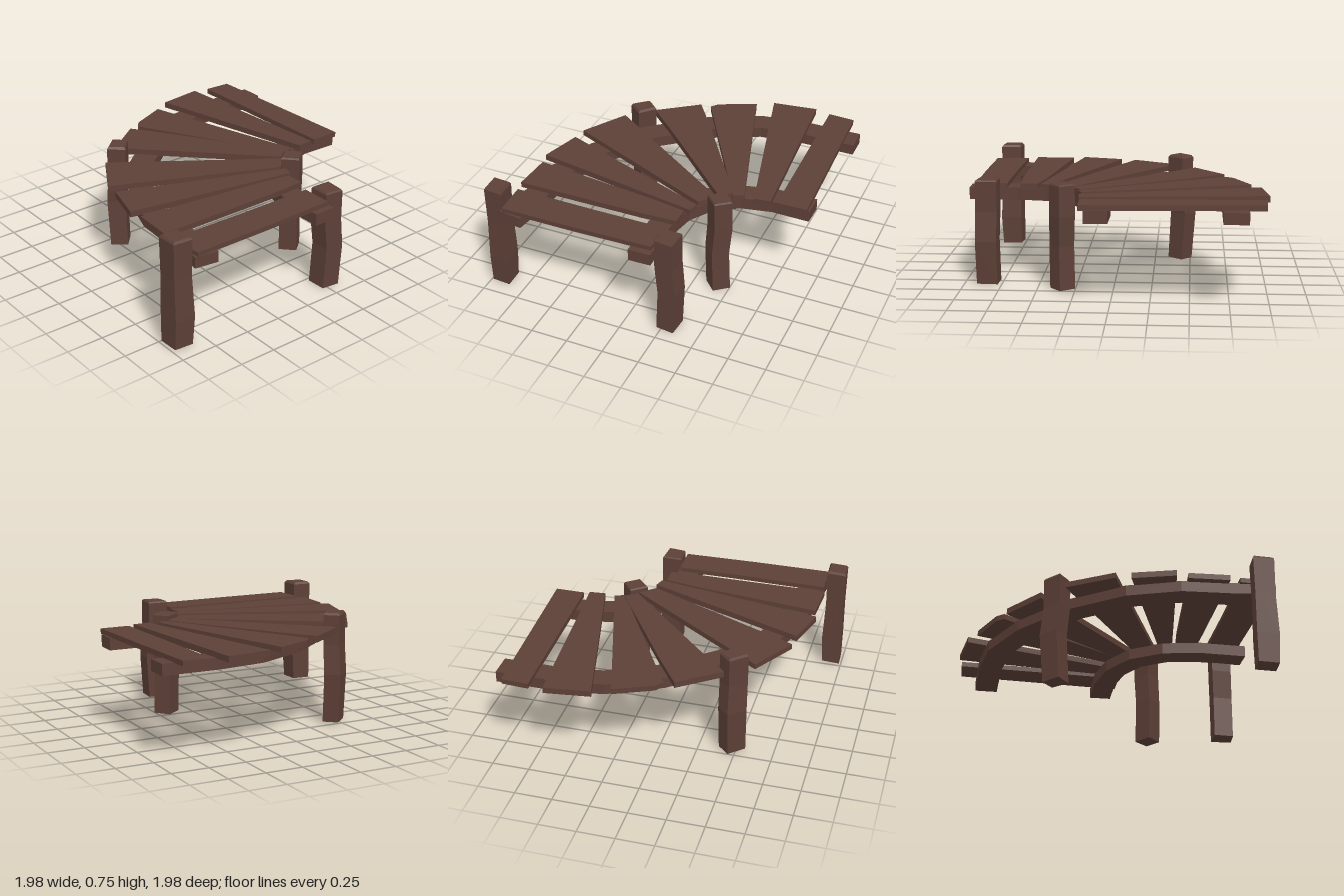
import * as THREE from 'three';

// Closed flat-faced solid from a row of matching cross-sections
function loft(rings) {
  const tris = [];
  const n = rings[0].length;
  const quad = (a, b, c, d) => tris.push([a, b, c], [a, c, d]);
  for (let i = 0; i < rings.length - 1; i++) {
    for (let j = 0; j < n; j++) {
      const k = (j + 1) % n;
      quad(rings[i][j], rings[i][k], rings[i + 1][k], rings[i + 1][j]);
    }
  }
  const [s, e] = [rings[0], rings[rings.length - 1]];
  for (let j = 1; j < n - 1; j++) tris.push([s[0], s[j + 1], s[j]], [e[0], e[j], e[j + 1]]);

  // Turn all faces outward using the signed volume
  let volume = 0;
  for (const [a, b, c] of tris) volume += a.dot(new THREE.Vector3().crossVectors(b, c));
  const pos = [];
  for (const [a, b, c] of tris) {
    for (const p of volume < 0 ? [a, c, b] : [a, b, c]) pos.push(p.x, p.y, p.z);
  }
  const g = new THREE.BufferGeometry();
  g.setAttribute('position', new THREE.Float32BufferAttribute(pos, 3));
  g.computeVertexNormals();
  return g;
}

const v = (x, y, z) => new THREE.Vector3(x, y, z);

// Board: each station gives both edges as [ax, az, bx, bz]
function board(stations, bottom, top) {
  return loft(stations.map(([ax, az, bx, bz]) => [
    v(ax, top, az), v(bx, top, bz), v(bx, bottom, bz), v(ax, bottom, az),
  ]));
}

// Curved beam: path points [x, z] widened on both sides
function beam(path, width, bottom, top) {
  return board(path.map(([x, z], i) => {
    const p = path[Math.max(i - 1, 0)];
    const q = path[Math.min(i + 1, path.length - 1)];
    const dx = q[0] - p[0];
    const dz = q[1] - p[1];
    const s = width / 2 / Math.hypot(dx, dz);
    return [x - dz * s, z + dx * s, x + dz * s, z - dx * s];
  }), bottom, top);
}

// Rough post: the footprint is shifted and scaled at a few heights
function post(corners, levels) {
  const cx = corners.reduce((t, c) => t + c[0], 0) / 4;
  const cz = corners.reduce((t, c) => t + c[1], 0) / 4;
  return loft(levels.map(([y, ox, oz, s]) =>
    corners.map(([x, z]) => v(cx + ox + (x - cx) * s, y, cz + oz + (z - cz) * s))));
}

export function createModel() {
  const group = new THREE.Group();
  const wood = new THREE.MeshStandardMaterial({ color: 0x5d4037 });
  wood.name = 'darkWood';
  const add = (name, geometry) => {
    const mesh = new THREE.Mesh(geometry, wood);
    mesh.name = name;
    group.add(mesh);
  };

  // Fan of deck planks, from the outer end to the inner end
  const planks = [
    [0.67, [-0.85, 0.71, -0.84, 0.94], [-0.3, 0.72, -0.3, 0.94], [0.2, 0.72, 0.2, 0.93]],
    [0.675, [-0.85, 0.37, -0.865, 0.64], [0, 0.47, 0, 0.64], [0.24, 0.51, 0.24, 0.63]],
    [0.678, [-0.79, 0.01, -0.87, 0.29], [0.29, 0.42, 0.27, 0.49]],
    [0.675, [-0.6, -0.39, -0.78, -0.09], [0.38, 0.29, 0.28, 0.38]],
    [0.68, [-0.16, -0.73, -0.43, -0.53], [0, -0.5, -0.21, -0.32], [0.46, 0.21, 0.38, 0.27]],
    [0.675, [0.2, -0.9, -0.05, -0.79], [0.22, -0.83, -0.09, -0.74], [0.53, 0.2, 0.46, 0.23]],
    [0.678, [0.31, -0.96, 0.615, -1], [0.6, 0.21, 0.71, 0.2]],
    [0.673, [0.72, -0.98, 0.9, -0.97], [0.75, 0.19, 0.95, 0.19]],
  ];
  planks.forEach(([top, ...stations], i) => add(`plank${i + 1}`, board(stations, 0.638, top)));

  // Two curved beams under the deck
  add('outerBeam', beam([[-0.78, 0.95], [-0.74, 0.66], [-0.72, 0.35], [-0.61, 0.03], [-0.37, -0.3],
    [-0.03, -0.58], [0.3, -0.74], [0.6, -0.78], [0.985, -0.78]], 0.16, 0.568, 0.642));
  add('innerBeam', beam([[0.14, 0.975], [0.135, 0.65], [0.18, 0.42], [0.3, 0.23], [0.48, 0.12],
    [0.7, 0.075], [0.96, 0.08]], 0.15, 0.56, 0.64));

  // Four slightly crooked posts
  add('outerFrontPost', post([[-0.99, 0.76], [-0.86, 0.77], [-0.855, 0.91], [-0.985, 0.9]],
    [[0.02, 0, 0, 0.97], [0.22, 0.005, 0.005, 1.05], [0.5, 0, 0, 0.95], [0.75, 0, 0, 1], [0.765, 0, 0, 0.85]]));
  add('outerBackPost', post([[-0.46, -0.525], [-0.38, -0.45], [-0.47, -0.35], [-0.565, -0.43]],
    [[0.02, 0, 0.01, 0.95], [0.35, 0, -0.01, 1], [0.55, 0, 0.01, 0.98], [0.75, 0, 0.01, 1], [0.765, 0, 0.01, 0.85]]));
  add('innerFrontPost', post([[0.205, 0.77], [0.345, 0.775], [0.335, 0.92], [0.21, 0.905]],
    [[0.01, 0.005, 0, 0.97], [0.3, 0.02, 0.005, 0.98], [0.5, 0, 0, 1], [0.7, 0, 0, 1], [0.71, 0, 0, 0.9]]));
  add('innerBackPost', post([[0.43, 0.25], [0.505, 0.345], [0.41, 0.42], [0.325, 0.33]],
    [[0.01, 0, 0, 0.98], [0.3, -0.01, 0.005, 0.97], [0.5, 0.005, 0, 1], [0.7, 0, 0, 1], [0.71, 0, 0, 0.9]]));

  return group;
}
